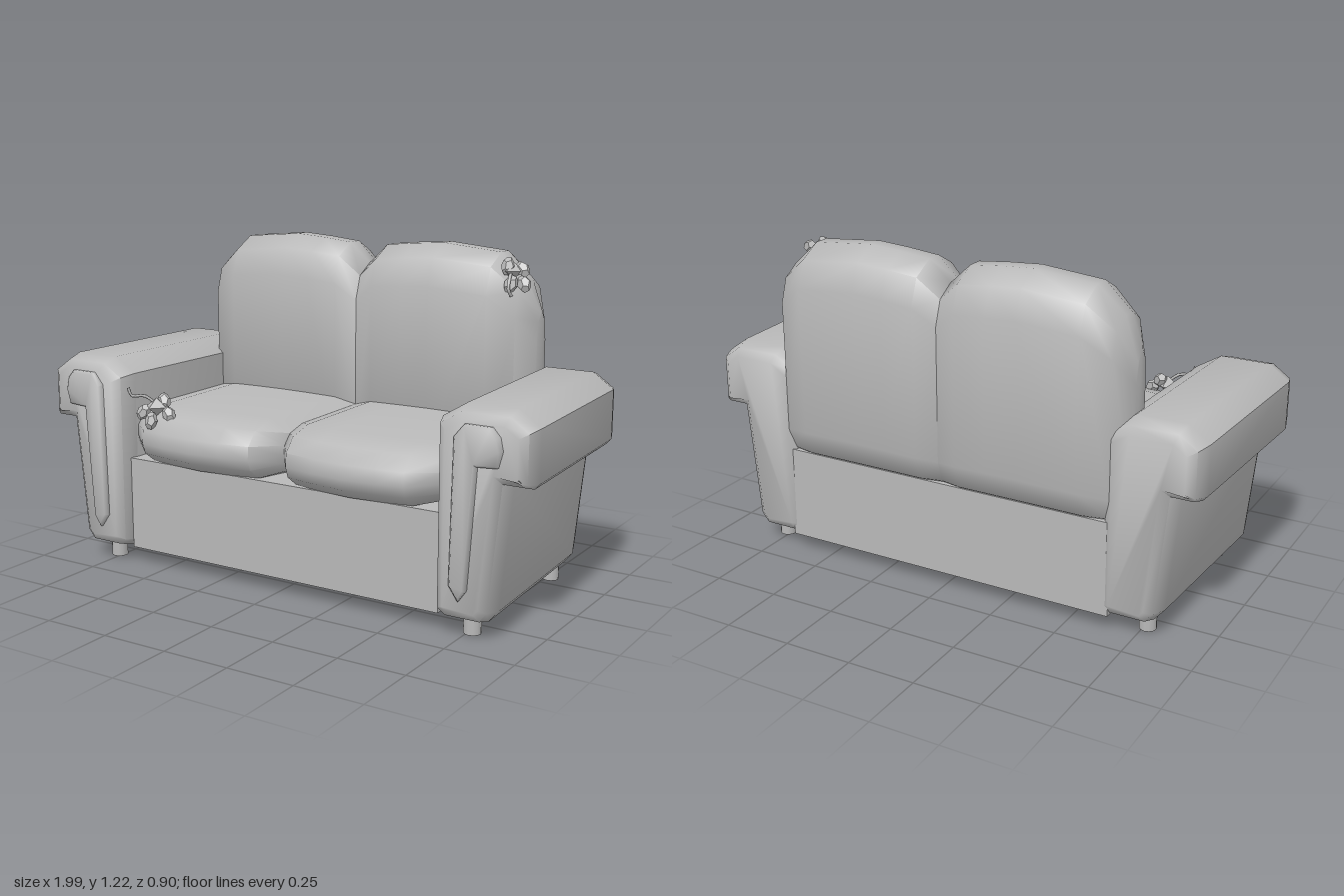
import * as THREE from 'three';
import { toCreasedNormals } from 'three/addons/utils/BufferGeometryUtils.js';

const fabric = new THREE.MeshStandardMaterial({ color: 0xb8b8b8 });
fabric.name = 'grey fabric';

function add(parent, name, geometry, x = 0, y = 0, z = 0) {
  const mesh = new THREE.Mesh(geometry, fabric);
  mesh.name = name;
  mesh.position.set(x, y, z);
  parent.add(mesh);
  return mesh;
}

// Skin a run of rings that share one profile, cap both ends, face outwards
function loft(profile, rings, crease = 0.9) {
  const n = profile.length;
  const pos = rings.flat(2);
  let tris = [];
  for (let r = 0; r < rings.length - 1; r++) {
    for (let i = 0; i < n; i++) {
      const a = r * n + i, b = r * n + (i + 1) % n;
      tris.push([a, b, b + n], [a, b + n, a + n]);
    }
  }
  const area = THREE.ShapeUtils.area(profile);
  const end = (rings.length - 1) * n;
  for (const t of THREE.ShapeUtils.triangulateShape(profile, [])) {
    const f = area > 0 ? t : [t[2], t[1], t[0]];
    // triangulation follows the profile winding
    const [a, b, c] = f.map((i) => profile[i]);
    const ccw = (b.x - a.x) * (c.y - a.y) - (b.y - a.y) * (c.x - a.x) > 0;
    const [p, q, s] = ccw === area > 0 ? f : [f[2], f[1], f[0]];
    tris.push([s, q, p], [p + end, q + end, s + end]);
  }
  const v = (i) => new THREE.Vector3().fromArray(pos, i * 3);
  const volume = tris.reduce((sum, [a, b, c]) => sum + v(a).dot(v(b).cross(v(c))), 0);
  if (volume < 0) tris = tris.map(([a, b, c]) => [a, c, b]);
  const g = new THREE.BufferGeometry();
  g.setAttribute('position', new THREE.Float32BufferAttribute(pos, 3));
  g.setIndex(tris.flat());
  return toCreasedNormals(g, crease);
}

const outline = (list) => list.map(([x, y]) => new THREE.Vector2(x, y));

// Move a profile inwards by d, with mitred corners
function inset(profile, d) {
  const sign = Math.sign(THREE.ShapeUtils.area(profile));
  const n = profile.length;
  const normal = (a, b) => new THREE.Vector2(a.y - b.y, b.x - a.x).normalize().multiplyScalar(sign);
  return profile.map((p, i) => {
    const n1 = normal(profile[(i + n - 1) % n], p), n2 = normal(p, profile[(i + 1) % n]);
    const k = d / (1 + n1.dot(n2));
    return p.clone().add(n1.add(n2).multiplyScalar(k));
  });
}

// Padded form along z from [z, inset] steps
function paddedAlongZ(profile, steps, side, shear = 0) {
  return loft(profile, steps.map(([z, d]) =>
    inset(profile, d).map((p) => [side * (p.x + shear * (z - 0.38)), p.y, z])));
}

// Cushion along x from [x, zScale, yScale] steps about a centre; profile is (z, y)
function cushion(profile, steps, cz, cy, side) {
  return loft(profile, steps.map(([x, fz, fy]) =>
    profile.map((p) => [side * x, cy + (p.y - cy) * fy, cz + (p.x - cz) * fz])));
}

const seatProfile = outline([
  [-0.25, 0.4], [0.28, 0.397], [0.38, 0.41], [0.435, 0.45], [0.45, 0.49],
  [0.445, 0.54], [0.4, 0.59], [0.3, 0.617], [-0.25, 0.62]]);
const seatSteps = [[0, 0.8, 0.76], [0.08, 0.955, 0.98], [0.2, 0.985, 1], [0.32, 1, 1.01],
  [0.45, 0.985, 1], [0.55, 0.965, 0.98], [0.65, 0.83, 0.8]];

const backProfile = outline([
  [-0.15, 0.45], [-0.15, 1.07], [-0.185, 1.17], [-0.27, 1.217], [-0.33, 1.217],
  [-0.415, 1.17], [-0.452, 1.07], [-0.452, 0.51], [-0.42, 0.42], [-0.39, 0.4], [-0.2, 0.4]]);
const backSteps = [[0, 0.83, 0.885], [0.08, 1, 0.975], [0.2, 1, 0.99], [0.32, 1, 1],
  [0.55, 1, 0.975], [0.65, 0.78, 0.865], [0.7, 0.25, 0.72]];

const armProfile = outline([
  [0.65, 0.085], [0.69, 0.055], [0.83, 0.055], [0.868, 0.1], [0.91, 0.53], [0.98, 0.53],
  [0.998, 0.55], [0.998, 0.73], [0.92, 0.785], [0.74, 0.785], [0.65, 0.73]]);
const armSteps = [[-0.422, 0.045], [-0.4, 0.018], [-0.34, 0], [0.34, 0], [0.4, 0.018], [0.422, 0.045]];

const trimProfile = outline([
  [0.725, 0.19], [0.76, 0.14], [0.788, 0.18], [0.817, 0.6], [0.89, 0.605], [0.905, 0.66],
  [0.895, 0.705], [0.868, 0.735], [0.772, 0.735], [0.735, 0.69]]);
const trimSteps = [[0.4, 0], [0.432, 0], [0.442, 0.009]];

// Small faceted flower: core, drooping petals and a curled stem
function flower(name, x, y, z, petals, stem) {
  const group = new THREE.Group();
  group.name = name;
  group.position.set(x, y, z);
  const core = add(group, 'flowerCore', new THREE.OctahedronGeometry(0.045, 0));
  core.scale.set(1, 0.75, 1);
  for (const [px, py, pz, tilt] of petals) {
    const g = new THREE.DodecahedronGeometry(0.032, 0).toNonIndexed();
    g.computeVertexNormals();
    const petal = add(group, 'petal', g, px, py, pz);
    petal.scale.set(0.8, 1.05, 0.6);
    petal.rotation.set(-0.3, 0, tilt);
  }
  const curve = new THREE.CatmullRomCurve3(stem.map((p) => new THREE.Vector3(...p)));
  add(group, 'stem', new THREE.TubeGeometry(curve, 8, 0.006, 5));
  return group;
}

export function createModel() {
  const model = new THREE.Group();
  model.name = 'sofa';

  add(model, 'base', new THREE.BoxGeometry(1.31, 0.35, 0.78), 0, 0.235, -0.02);

  for (const side of [1, -1]) {
    const word = side > 0 ? 'left' : 'right';
    add(model, word + 'SeatCushion', cushion(seatProfile, seatSteps, -0.25, 0.51, side));
    add(model, word + 'BackCushion', cushion(backProfile, backSteps, -0.3, 0.4, side));
    add(model, word + 'Arm', paddedAlongZ(armProfile, armSteps, side, 0.045));
    add(model, word + 'ArmTrim', paddedAlongZ(trimProfile, trimSteps, side));
    for (const z of [0.325, -0.31]) {
      add(model, word + 'Foot', new THREE.CylinderGeometry(0.031, 0.031, 0.08, 12), side * 0.764, 0.04, z);
    }
  }

  // Flowers on the seat edge and the upper back
  model.add(flower('seatFlower', -0.52, 0.625, 0.375,
    [[-0.055, -0.025, 0.01, -0.6], [0.005, -0.045, 0.04, 0], [0.06, -0.02, 0.005, 0.8], [0.02, 0.02, -0.02, 0.5]],
    [[0, 0.01, 0], [-0.04, 0.04, 0.02], [-0.08, 0.04, 0.045], [-0.09, 0.07, 0.05]]));
  model.add(flower('backFlower', 0.615, 1.14, -0.225,
    [[0.01, -0.045, 0.03, -0.3], [0.045, -0.045, -0.005, 0.5], [0.035, 0.005, -0.01, 0.8], [-0.01, 0.015, 0.015, 0]],
    [[0, 0, 0], [0.01, -0.02, 0.04], [0.015, -0.06, 0.06], [0.02, -0.085, 0.045]]));
  return model;
}
